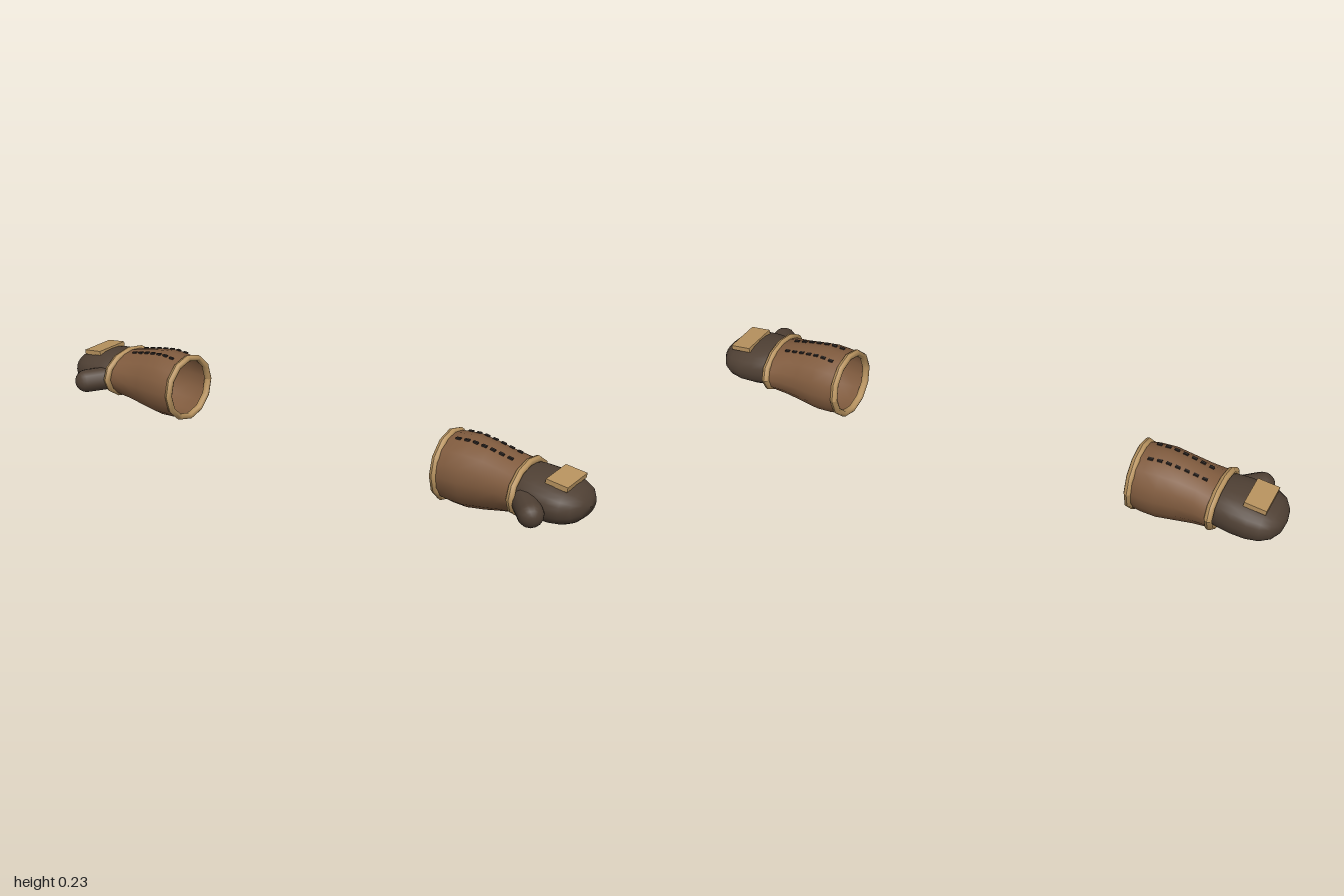
import * as THREE from 'three';

const mat = (name, color, side = THREE.FrontSide) => {
  const m = new THREE.MeshStandardMaterial({ color, side });
  m.name = name;
  return m;
};

// Skin over elliptical sections along x: [x, centreY, centreZ, halfY, halfZ]
function loft(sections, sides, power = 1) {
  const pos = [], idx = [];
  const soft = (v) => Math.sign(v) * Math.abs(v) ** power;
  for (const [x, cy, cz, hy, hz] of sections) {
    for (let j = 0; j < sides; j++) {
      const a = (j / sides) * Math.PI * 2;
      pos.push(x, cy + hy * soft(Math.cos(a)), cz + hz * soft(Math.sin(a)));
    }
  }
  for (let i = 0; i < sections.length - 1; i++) {
    for (let j = 0; j < sides; j++) {
      const k = (j + 1) % sides;
      const a = i * sides + j, b = i * sides + k;
      idx.push(a, b, a + sides, b, b + sides, a + sides);
    }
  }
  const g = new THREE.BufferGeometry();
  g.setAttribute('position', new THREE.Float32BufferAttribute(pos, 3));
  g.setIndex(idx);
  g.computeVertexNormals();
  return g;
}

const CY = 0.117, CZ = -0.027;
const CUFF = [
  [0.515, CY, CZ, 0.104, 0.106],
  [0.56, CY, CZ, 0.112, 0.111],
  [0.61, CY, CZ, 0.115, 0.112],
  [0.67, CY, CZ, 0.106, 0.105],
  [0.73, CY, CZ, 0.092, 0.104],
  [0.79, CY, CZ, 0.078, 0.112],
];
const HAND = [
  [0.77, 0.12, -0.029, 0.062, 0.088],
  [0.81, 0.119, -0.028, 0.069, 0.1],
  [0.85, 0.115, -0.027, 0.07, 0.106],
  [0.9, 0.111, -0.026, 0.067, 0.108],
  [0.94, 0.108, -0.026, 0.059, 0.1],
  [0.97, 0.108, -0.026, 0.047, 0.082],
  [0.99, 0.108, -0.027, 0.028, 0.05],
  [0.998, 0.108, -0.027, 0.002, 0.004],
];

// Height of the cuff's upper surface at a given x and z
function cuffTop(x, z) {
  const i = CUFF.findIndex((s, n) => n < CUFF.length - 1 && x <= CUFF[n + 1][0]);
  const a = CUFF[i], b = CUFF[i + 1];
  const t = (x - a[0]) / (b[0] - a[0]);
  const hy = a[3] + (b[3] - a[3]) * t, hz = a[4] + (b[4] - a[4]) * t;
  return CY + hy * Math.sqrt(1 - ((z - CZ) / hz) ** 2);
}

export function createModel() {
  const leather = mat('cuff leather', 0x805b3e, THREE.DoubleSide);
  const dark = mat('dark hand leather', 0x4f4034, THREE.DoubleSide);
  const tan = mat('tan trim', 0xb8935f);
  const thread = mat('stitch thread', 0x2c2623);

  function buildGlove(name) {
    const glove = new THREE.Group();
    glove.name = name;
    const add = (partName, geometry, material) => {
      const m = new THREE.Mesh(geometry, material);
      m.name = partName;
      glove.add(m);
      return m;
    };

    add('cuff', loft(CUFF, 16), leather);
    add('hand', loft(HAND, 24, 0.88), dark);

    // Thumb angled forward and outward from the palm
    const base = new THREE.Vector3(0.822, 0.109, 0.055);
    const tip = new THREE.Vector3(0.873, 0.103, 0.109);
    const dir = tip.clone().sub(base);
    const thumb = add('thumb', new THREE.CapsuleGeometry(0.04, dir.length(), 6, 14), dark);
    thumb.position.copy(base).add(tip).multiplyScalar(0.5);
    thumb.quaternion.setFromUnitVectors(new THREE.Vector3(0, 1, 0), dir.normalize());

    // Rolled trims at the opening and the wrist
    const trims = [
      ['openingTrim', 0.524, 0.117, CZ, 0.106, 0.105, 0],
      ['wristTrim', 0.79, 0.119, -0.025, 0.076, 0.115, 0.03],
    ];
    for (const [partName, x, y, z, hy, hz, tilt] of trims) {
      const g = new THREE.TorusGeometry(1, 0.1, 8, 12);
      const p = g.attributes.position;
      for (let i = 0; i < p.count; i++) {
        const px = p.getX(i), py = p.getY(i);
        const r = Math.hypot(px, py), off = (r - 1) * 0.11;
        p.setXYZ(i, p.getZ(i) * 0.13, (py / r) * (hy + off), (-px / r) * (hz + off));
      }
      g.computeVertexNormals();
      const ring = add(partName, g, tan);
      ring.position.set(x, y, z);
      ring.rotation.y = tilt;
    }

    // Knuckle plate
    const plate = add('knucklePlate', new THREE.BoxGeometry(0.072, 0.016, 0.125), tan);
    plate.position.set(0.911, 0.175, -0.03);
    plate.rotation.z = -0.13;

    // Two rows of stitches along the top of the cuff
    for (const side of [-1, 1]) {
      for (let i = 0; i < 7; i++) {
        const x = 0.567 + i * 0.029;
        const z = -0.031 + side * (0.037 - i * 0.0012);
        const y = cuffTop(x, z);
        const stitch = add('stitch', new THREE.BoxGeometry(0.016, 0.006, 0.009), thread);
        stitch.position.set(x, y, z);
        stitch.rotation.z = Math.atan2(cuffTop(x + 0.008, z) - cuffTop(x - 0.008, z), 0.016);
      }
    }
    return glove;
  }

  const model = new THREE.Group();
  model.name = 'gloves';
  const left = buildGlove('leftGlove');
  const right = buildGlove('rightGlove');
  right.scale.x = -1;
  model.add(left, right);
  return model;
}
